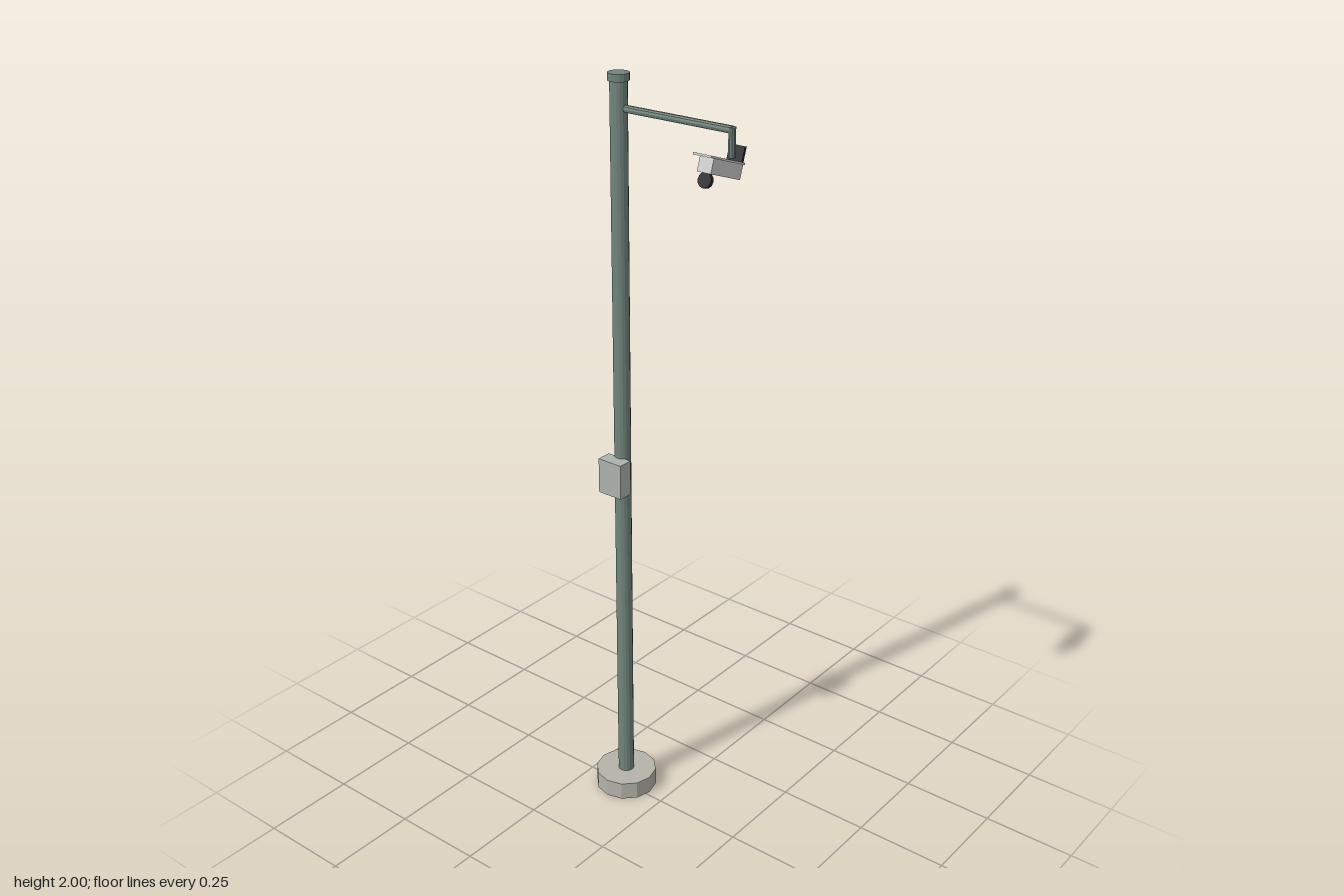
import * as THREE from 'three';

const mat = (color) => new THREE.MeshStandardMaterial({ color, flatShading: true });

export function createModel() {
  const root = new THREE.Group();
  const steel = mat(0x71857d), concrete = mat(0xb4b3a9), cabinet = mat(0xabb3af);
  const shell = mat(0xc8c8c8), black = mat(0x25282a);

  const add = (parent, name, geometry, material, x, y, z) => {
    const mesh = new THREE.Mesh(geometry, material);
    mesh.name = name;
    mesh.position.set(x, y, z);
    parent.add(mesh);
    return mesh;
  };
  const cyl = (r, h, n) => new THREE.CylinderGeometry(r, r, h, n);
  const box = (w, h, d) => new THREE.BoxGeometry(w, h, d);
  const px = -0.134, pz = -0.013, cx = 0.191;

  // Footing, post and cap
  add(root, 'footing', cyl(0.084, 0.05, 12), concrete, px, 0.025, pz);
  add(root, 'post', cyl(0.0215, 1.94, 16), steel, px, 1.02, pz);
  add(root, 'postCap', cyl(0.0265, 0.018, 16), steel, px, 1.991, pz);

  // Control cabinet on the front of the post
  add(root, 'cabinet', box(0.072, 0.095, 0.04), cabinet, px, 0.979, 0.02);

  // Horizontal arm and its drop
  const arm = add(root, 'arm', cyl(0.009, cx - px, 10), steel, (px + cx) / 2, 1.919, pz);
  arm.rotation.z = Math.PI / 2;
  add(root, 'armDrop', cyl(0.009, 0.068, 10), steel, cx, 1.891, pz);

  // Tilted camera head
  const head = new THREE.Group();
  head.name = 'cameraHead';
  head.position.set(cx, 1.85, 0.03);
  head.rotation.x = -0.33;
  root.add(head);
  add(head, 'housing', box(0.038, 0.034, 0.115), shell, 0, -0.007, -0.003);
  add(head, 'visor', box(0.05, 0.005, 0.132), shell, 0, 0.0125, 0.008);
  add(head, 'mountPlate', box(0.042, 0.038, 0.007), black, 0, 0.031, -0.053);
  const lens = add(head, 'lens', cyl(0.018, 0.01, 12), black, 0, -0.039, 0.042);
  lens.rotation.x = Math.PI / 2;

  return root;
}
